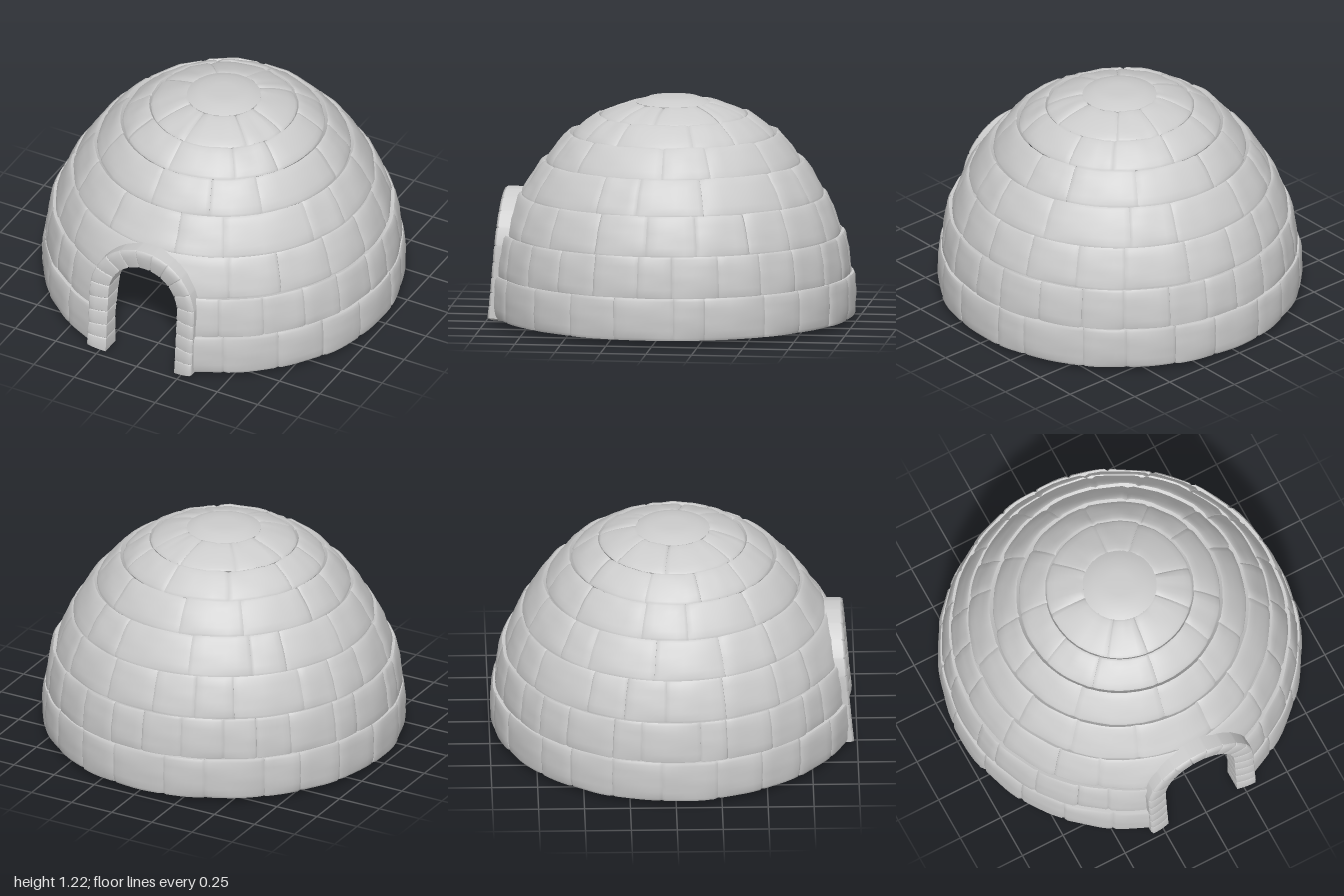
import * as THREE from 'three';
import { toCreasedNormals } from 'three/addons/utils/BufferGeometryUtils.js';

const material = new THREE.MeshStandardMaterial({ color: 0xcccccc });
const WALL = 0.1;
const DOOR = { half: 0.267, spring: 0.385 }; // door cut, under the middle of the arch ring

// Courses: outer radius and height at the bottom and top edge, number of blocks
const courses = [
  { r0: 0.984, y0: 0.03, r1: 0.982, y1: 0.26, n: 21, door: true },
  { r0: 0.968, y0: 0.25, r1: 0.935, y1: 0.485, n: 24, door: true },
  { r0: 0.918, y0: 0.475, r1: 0.836, y1: 0.695, n: 18, door: true },
  { r0: 0.826, y0: 0.685, r1: 0.71, y1: 0.88, n: 14 },
  { r0: 0.694, y0: 0.867, r1: 0.568, y1: 1.03, n: 11 },
  { r0: 0.552, y0: 1.018, r1: 0.408, y1: 1.13, n: 10 },
  { r0: 0.4, y0: 1.124, r1: 0.2, y1: 1.197, n: 8 },
];

function seeded(seed) {
  return () => {
    seed = (seed * 16807) % 2147483647;
    return seed / 2147483647;
  };
}

// Box whose unit coordinates (u, v, w) are moved by a rule; grid lines crowd at the edges
function mappedBox(nu, nv, rule) {
  const geo = new THREE.BoxGeometry(1, 1, 1, nu, nv, 1);
  const pos = geo.attributes.position;
  const crowd = (t, n) => {
    const k = Math.round(t * n);
    if (k === 0 || k === n) return k / n;
    return 0.07 + (0.86 * (k - 1)) / (n - 2);
  };
  for (let i = 0; i < pos.count; i++) {
    const u = crowd(pos.getX(i) + 0.5, nu);
    const v = crowd(pos.getY(i) + 0.5, nv);
    const p = rule(u, v, pos.getZ(i) + 0.5);
    pos.setXYZ(i, p[0], p[1], p[2]);
  }
  geo.computeVertexNormals();
  return geo;
}

const isEnd = (t) => t < 0.001 || t > 0.999;

// Angle from the front at which the wall stops for the doorway
function doorAngle(y, r) {
  const dy = Math.max(0, y - DOOR.spring);
  const half = Math.sqrt(Math.max(0, DOOR.half ** 2 - dy ** 2));
  return Math.asin(half / r);
}

// Slight forward swelling of the wall where it meets the door arch
function doorSwell(theta, y) {
  const fromFront = Math.min(Math.abs(theta), Math.abs(Math.PI * 2 - theta));
  const fade = 1 - THREE.MathUtils.smoothstep(y, 0.62, 0.78);
  return 0.02 * fade * Math.exp(-((fromFront / 0.4) ** 2));
}

// One curved ice block between angles a and b; first / last follow the doorway
function wallBlock(c, a, b, first, last, bump) {
  return mappedBox(7, 7, (u, v, w) => {
    const r = THREE.MathUtils.lerp(c.r0, c.r1, v);
    const y = THREE.MathUtils.lerp(c.y0, c.y1, v);
    const rise = Math.max(0, y - 0.25);
    const len = Math.hypot(r, rise);
    const theta = a + (b - a) * u;
    // soft dents, raised middle and recessed joints
    const dent = 0.004 * Math.sin(theta * 17 + y * 23) * Math.sin(y * 31 - theta * 5);
    let relief = bump + 0.007 * Math.sin(Math.PI * v);
    if (isEnd(u)) relief -= 0.009;
    if (isEnd(v)) relief -= 0.006;
    const off = dent + (w > 0.5 ? relief + doorSwell(theta, y) : -WALL - relief);
    const rr = r + (off * r) / len;
    const yy = y + (off * rise) / len;
    const start = first ? doorAngle(yy, rr) : a;
    const end = last ? Math.PI * 2 - doorAngle(yy, rr) : b;
    const t = start + (end - start) * u;
    return [rr * Math.sin(t), yy, rr * Math.cos(t)];
  });
}

function buildCourse(c, index) {
  const group = new THREE.Group();
  group.name = `wallCourse${index + 1}`;
  const rand = seeded(101 + index * 37);
  const start = c.door ? 0.29 : 0.22 * index - 0.5;
  const span = Math.PI * 2 - (c.door ? 0.58 : 0);
  // uneven seams
  const seams = [];
  for (let i = 0; i <= c.n; i++) {
    const jitter = i === 0 || i === c.n ? 0 : (rand() - 0.5) * 0.5;
    seams.push(start + (span * (i + jitter)) / c.n);
  }
  for (let i = 0; i < c.n; i++) {
    const first = !!c.door && i === 0;
    const last = !!c.door && i === c.n - 1;
    const geo = wallBlock(c, seams[i], seams[i + 1], first, last, (rand() - 0.5) * 0.008);
    const mesh = new THREE.Mesh(geo, material);
    mesh.name = 'iceBlock';
    group.add(mesh);
  }
  return group;
}

// Arch ring: straight legs and a half circle, run from the right leg to the left one
function buildArch() {
  const group = new THREE.Group();
  group.name = 'doorArch';
  const inner = 0.212, outer = 0.322, leg = DOOR.spring;
  const arc = Math.PI * DOOR.half;
  const total = 2 * leg + arc;
  const count = 19;
  const point = (s, rad) => {
    if (s < leg) return [-rad, s];
    if (s > leg + arc) return [rad, total - s];
    const a = Math.PI - (s - leg) / DOOR.half;
    return [rad * Math.cos(a), leg + rad * Math.sin(a)];
  };
  for (let i = 0; i < count; i++) {
    const geo = mappedBox(4, 5, (u, v, w) => {
      const s = (total * (i + u)) / count;
      const joint = isEnd(u);
      const rad = THREE.MathUtils.lerp(inner, outer, v) + (joint && v < 0.001 ? 0.004 : 0);
      const [x, y] = point(s, rad);
      // feet slant down towards the opening
      const foot = 0.028 * v * Math.max(0, 1 - y / 0.15);
      const front = 0.983 - 0.085 * y;
      const back = 0.85 - 0.24 * Math.max(0, y - 0.2);
      // splayed front, rounded outer lip, shallow joints
      const recess = 0.02 * (1 - v) ** 2 + (joint ? 0.006 : 0) + (v > 0.999 ? 0.012 : 0);
      return [x, y + foot, w > 0.5 ? front - recess : back];
    });
    const mesh = new THREE.Mesh(geo, material);
    mesh.name = 'archBlock';
    group.add(mesh);
  }
  return group;
}

// Flat-topped closing block
function buildCap() {
  const profile = [
    [0, 1.12], [0.18, 1.097], [0.203, 1.192], [0.14, 1.218], [0.07, 1.221], [0, 1.222],
  ].map(([x, y]) => new THREE.Vector2(x, y));
  const geo = toCreasedNormals(new THREE.LatheGeometry(profile, 32), 0.7);
  const mesh = new THREE.Mesh(geo, material);
  mesh.name = 'capBlock';
  return mesh;
}

export function createModel() {
  const model = new THREE.Group();
  model.name = 'igloo';
  courses.forEach((c, i) => model.add(buildCourse(c, i)));
  model.add(buildArch(), buildCap());
  return model;
}
